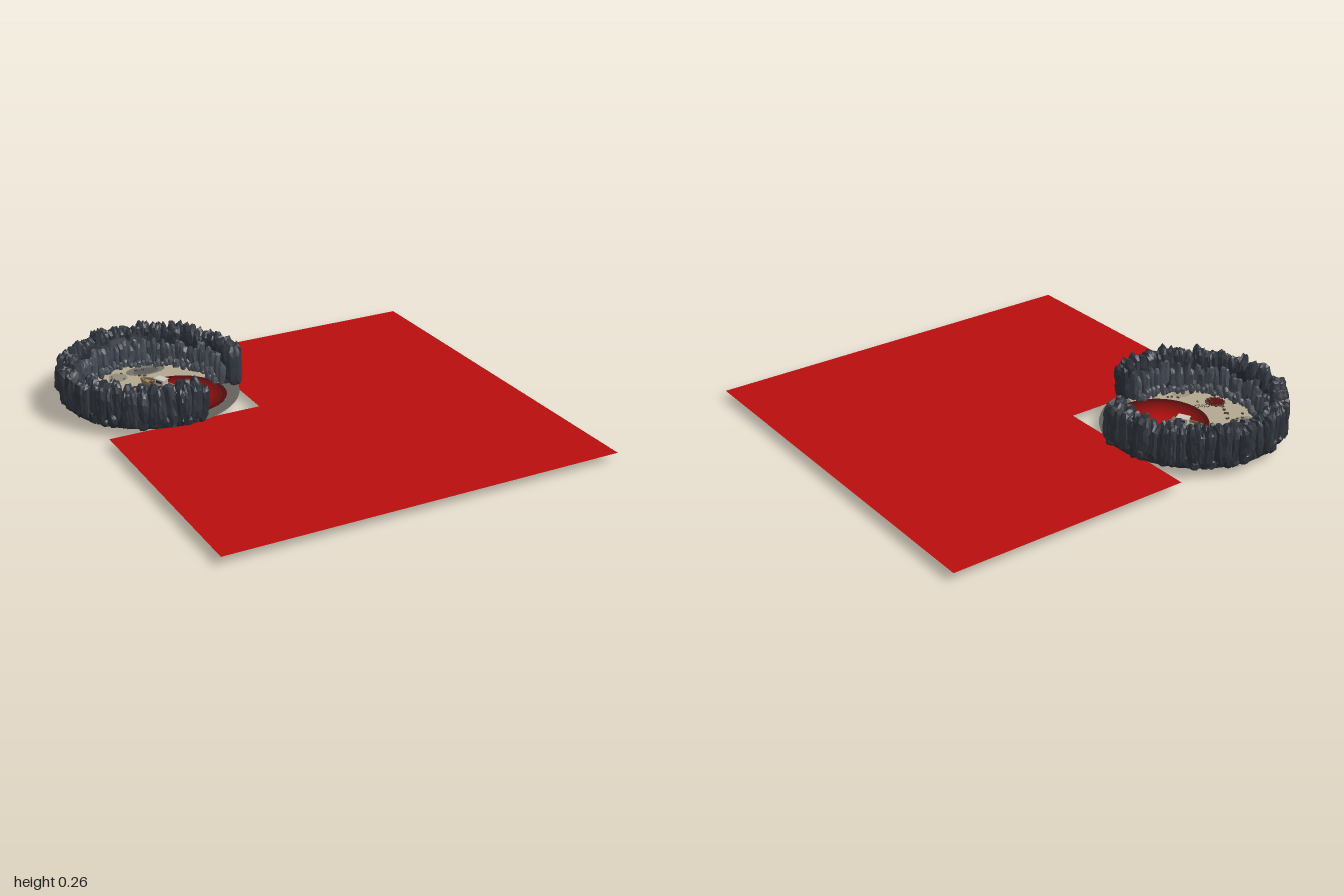
import * as THREE from 'three';
import { mergeGeometries } from 'three/addons/utils/BufferGeometryUtils.js';

const CX = -0.55, CZ = -0.55;            // centre of the rocky island
const POOL = { x: -0.45, z: -0.455, r: 0.225 };
const POND = { x: -0.785, z: -0.46, r: 0.042 };
const LEVEL = 0.04;
const START = 76, END = 376;             // rock ring, degrees from +x towards +z

let seed = 7;
function rand(a = 0, b = 1) {
  seed = (seed * 16807) % 2147483647;
  return a + (b - a) * (seed / 2147483647);
}

function mat(color, flat = false) {
  return new THREE.MeshStandardMaterial({ color, flatShading: flat, side: THREE.DoubleSide });
}

function add(parent, name, geometry, material, x = 0, y = 0, z = 0) {
  const mesh = new THREE.Mesh(geometry, material);
  mesh.name = name;
  mesh.position.set(x, y, z);
  parent.add(mesh);
  return mesh;
}

// Flat shape whose (x, y) become (x, z) on the ground
const flat = (shape) => new THREE.ShapeGeometry(shape, 48).rotateX(Math.PI / 2);

// Squarish boulder with a rough surface
function rockGeometry(detail, sx, sy, sz) {
  const g = new THREE.IcosahedronGeometry(1, detail);
  const p = g.attributes.position, v = new THREE.Vector3();
  const k = rand(1, 90);
  for (let i = 0; i < p.count; i++) {
    v.fromBufferAttribute(p, i);
    const n = Math.sin(v.x * 7.1 + k) + Math.sin(v.y * 5.3 + k * 2) + Math.sin(v.z * 8.7 + k * 3);
    const box = 1 / Math.pow(Math.abs(v.x) ** 3.5 + Math.abs(v.y) ** 3.5 + Math.abs(v.z) ** 3.5, 1 / 3.5);
    v.multiplyScalar(box * (0.93 + 0.06 * n));
    p.setXYZ(i, v.x * sx, v.y * sy, v.z * sz);
  }
  return g;
}

// One tier of boulders along the ring; x of each boulder points outwards
function rockTier(parent, name, color, o) {
  const groups = [[], [], []];
  for (let i = 0; i < o.count; i++) {
    const deg = START + 2 + (END - START - 4) * (i / (o.count - 1)) + rand(-1, 1);
    const a = THREE.MathUtils.degToRad(deg);
    const r = o.radius + rand(-o.spread, o.spread);
    const low = o.bottom + rand(0, 0.012), high = o.top + rand(-o.vary, o.vary);
    const g = rockGeometry(o.detail, o.depth * rand(0.85, 1.1), (high - low) / 2, o.width * rand(0.8, 1.25));
    g.rotateZ(rand(-0.08, 0.12));
    g.rotateX(rand(-0.1, 0.1));
    g.rotateY(-a + rand(-0.15, 0.15));
    g.translate(CX + r * Math.cos(a), (low + high) / 2, CZ + r * Math.sin(a));
    groups[i % 3].push(g);
  }
  groups.forEach((list, i) => {
    const c = new THREE.Color(color).multiplyScalar(0.85 + 0.17 * i);
    add(parent, name, mergeGeometries(list), mat(c, true));
  });
}

// Concentric coloured bands following a profile of [radius, height, color]
function bands(parent, name, profile, x, z) {
  for (let i = 0; i < profile.length - 1; i++) {
    const pts = [profile[i], profile[i + 1]].map(([r, y]) => new THREE.Vector2(r, y));
    add(parent, name, new THREE.LatheGeometry(pts, 64), mat(profile[i][2]), x, 0, z);
  }
}

function makeBoat() {
  const boat = new THREE.Group();
  boat.name = 'boat';
  const outline = (T, s) => {
    const h = new T();
    h.moveTo(-0.027 * s, -0.088 * s);
    h.lineTo(0.027 * s, -0.088 * s);
    h.lineTo(0.034 * s, 0.0);
    h.quadraticCurveTo(0.032 * s, 0.06 * s, 0, 0.102 * s);
    h.quadraticCurveTo(-0.032 * s, 0.06 * s, -0.034 * s, 0.0);
    h.closePath();
    return h;
  };
  const wood = mat(0x8a7454, true);
  const rim = outline(THREE.Shape, 1);
  rim.holes.push(outline(THREE.Path, 0.84));
  add(boat, 'gunwale', new THREE.ExtrudeGeometry(rim, { depth: 0.015, bevelEnabled: false })
    .rotateX(Math.PI / 2), wood, 0, 0.035, 0);
  const hull = new THREE.ExtrudeGeometry(outline(THREE.Shape, 1), { depth: 0.028, bevelEnabled: false })
    .rotateX(Math.PI / 2);
  const p = hull.attributes.position;
  for (let i = 0; i < p.count; i++) if (p.getY(i) < -0.01) p.setXYZ(i, p.getX(i) * 0.6, p.getY(i), p.getZ(i) * 0.85);
  hull.computeVertexNormals();
  add(boat, 'hull', hull, wood, 0, 0.02, 0);
  add(boat, 'deck', flat(outline(THREE.Shape, 0.86)), mat(0xa08a66), 0, 0.024, 0);
  add(boat, 'cabin', new THREE.BoxGeometry(0.036, 0.034, 0.05), mat(0xb9b4a8), 0, 0.04, -0.03);
  add(boat, 'cabinRoof', new THREE.BoxGeometry(0.042, 0.004, 0.058), mat(0xcac6bb), 0, 0.059, -0.03);
  for (const s of [-1, 1])
    add(boat, 'cabinWindow', new THREE.BoxGeometry(0.002, 0.012, 0.034), mat(0x2c3238), s * 0.018, 0.046, -0.03);
  add(boat, 'hatch', new THREE.BoxGeometry(0.018, 0.006, 0.022), mat(0x5d4c35), 0, 0.027, 0.03);
  boat.position.set(-0.51, LEVEL - 0.002, -0.585);
  boat.rotation.y = Math.atan2(-0.085, -0.17);
  return boat;
}

export function createModel() {
  seed = 7;
  const model = new THREE.Group();
  model.name = 'islandCove';

  // L-shaped sea surface
  const sea = new THREE.Shape([[-0.17, -0.92], [1, -0.92], [1, 1], [-0.915, 1], [-0.915, -0.17], [-0.17, -0.17]]
    .map(([x, z]) => new THREE.Vector2(x, z)));
  add(model, 'sea', flat(sea), mat(0xb80d0d), 0, LEVEL, 0);

  // Sand floor with openings for the basins
  const sand = new THREE.Shape().absarc(CX, CZ, 0.405, 0, Math.PI * 2);
  for (const b of [POOL, POND])
    sand.holes.push(new THREE.Path().absarc(b.x, b.z, b.r * 0.98, 0, Math.PI * 2, true));
  add(model, 'sandFloor', flat(sand), mat(0xb3a890), 0, LEVEL + 0.002, 0);

  // Dark gravel at the mouth of the cove
  const a0 = THREE.MathUtils.degToRad(8), a1 = THREE.MathUtils.degToRad(82);
  const gravel = new THREE.Shape();
  gravel.absarc(CX, CZ, 0.415, a0, a1);
  gravel.absarc(POOL.x, POOL.z, POOL.r, THREE.MathUtils.degToRad(95), THREE.MathUtils.degToRad(-5), true);
  add(model, 'gravelEdge', flat(gravel), mat(0x62615b), 0, LEVEL + 0.004, 0);

  // Stained patches and scattered debris on the sand
  for (const [x, z, rx, rz, c] of [[-0.48, -0.8, 0.1, 0.055, 0x74726c], [-0.48, -0.79, 0.065, 0.035, 0x5a5a59],
    [-0.63, -0.78, 0.045, 0.05, 0x928b7c], [-0.76, -0.68, 0.06, 0.045, 0x958d7c], [-0.72, -0.3, 0.05, 0.04, 0x9c937f]]) {
    const patch = new THREE.Shape().absellipse(x, z, rx, rz, 0, Math.PI * 2);
    add(model, 'stain', flat(patch), mat(c), 0, LEVEL + (c === 0x5a5a59 ? 0.005 : 0.004), 0);
  }
  for (let i = 0; i < 34; i++) {
    const a = rand(1.9, 5.2), r = rand(0.18, 0.28);
    const x = CX + r * Math.cos(a), z = CZ + r * Math.sin(a);
    if (Math.hypot(x - POOL.x, z - POOL.z) < POOL.r + 0.015) continue;
    add(model, 'debris', new THREE.BoxGeometry(rand(0.006, 0.016), 0.006, rand(0.004, 0.01)), mat(0x4f4434),
      x, LEVEL + 0.005, z).rotation.y = rand(0, 3);
  }

  // Basins seen from below
  bands(model, 'poolBasin', [[0, 0, 0x2f4a55], [0.06, 0.001, 0x37484a], [0.1, 0.003, 0x4a4a40],
    [0.14, 0.01, 0x5b4f3b], [0.18, 0.021, 0x67583f], [0.215, 0.034, 0x2a2520], [0.232, LEVEL + 0.001]], POOL.x, POOL.z);
  bands(model, 'pondBasin', [[0, 0.018, 0x67583f], [0.03, 0.024, 0x2a2520], [0.05, LEVEL + 0.001]], POND.x, POND.z);

  // Water, darkening towards the shore
  const shades = 10, water = [];
  for (let i = 0; i <= shades; i++) {
    const c = new THREE.Color(0xb80d0d).lerp(new THREE.Color(0x4c0d0c), Math.pow(i / shades, 1.4));
    water.push([POOL.r * i / shades, LEVEL + 0.005, c]);
  }
  bands(model, 'poolWater', water.reverse(), POOL.x, POOL.z);
  add(model, 'pondWater', new THREE.CircleGeometry(POND.r, 14).rotateX(-Math.PI / 2), mat(0x5a0d0d),
    POND.x, LEVEL + 0.005, POND.z);

  // Pebbles round the pond and along its short channel
  const pebbles = [];
  const pebble = (x, z, s) => pebbles.push(rockGeometry(0, s, s * 0.7, s).translate(x, LEVEL + 0.005, z));
  for (let i = 0; i < 14; i++) {
    const a = i / 14 * Math.PI * 2;
    pebble(POND.x + 0.042 * Math.cos(a), POND.z + 0.042 * Math.sin(a), rand(0.004, 0.008));
  }
  for (let i = 0; i < 10; i++)
    for (const s of [-1, 1]) pebble(-0.745 + i * 0.0085, -0.455 - 0.012 * Math.sin(i * 0.7) + s * 0.01, 0.0035);
  add(model, 'pebbles', mergeGeometries(pebbles), mat(0x4b3a2d, true));

  // Solid core behind the boulders
  const core = [[0.33, 0.045], [0.33, 0.11], [0.355, 0.19], [0.39, 0.205], [0.415, 0.17], [0.415, 0.045], [0.33, 0.045]]
    .map(([r, y]) => new THREE.Vector2(r, y));
  add(model, 'rockCore', new THREE.LatheGeometry(core, 60, THREE.MathUtils.degToRad(90 - END + 3),
    THREE.MathUtils.degToRad(END - START - 6)), mat(0x24272d, true), CX, 0, CZ);

  // Boulder tiers from the outer wall to the inner foot
  rockTier(model, 'outerRocks', 0x2f343c, { count: 54, radius: 0.397, spread: 0.008, depth: 0.043, width: 0.026,
    bottom: 0.04, top: 0.232, vary: 0.018, detail: 2 });
  rockTier(model, 'crestRocks', 0x31363f, { count: 64, radius: 0.375, spread: 0.014, depth: 0.028, width: 0.018,
    bottom: 0.13, top: 0.24, vary: 0.02, detail: 1 });
  rockTier(model, 'innerRocks', 0x434852, { count: 72, radius: 0.335, spread: 0.01, depth: 0.022, width: 0.016,
    bottom: 0.04, top: 0.175, vary: 0.025, detail: 1 });
  rockTier(model, 'footRocks', 0x4b5059, { count: 84, radius: 0.307, spread: 0.01, depth: 0.016, width: 0.012,
    bottom: 0.04, top: 0.09, vary: 0.02, detail: 1 });
  rockTier(model, 'outerFootRocks', 0x2c3037, { count: 60, radius: 0.402, spread: 0.01, depth: 0.028, width: 0.024,
    bottom: 0.034, top: 0.1, vary: 0.02, detail: 1 });

  model.add(makeBoat());
  return model;
}
